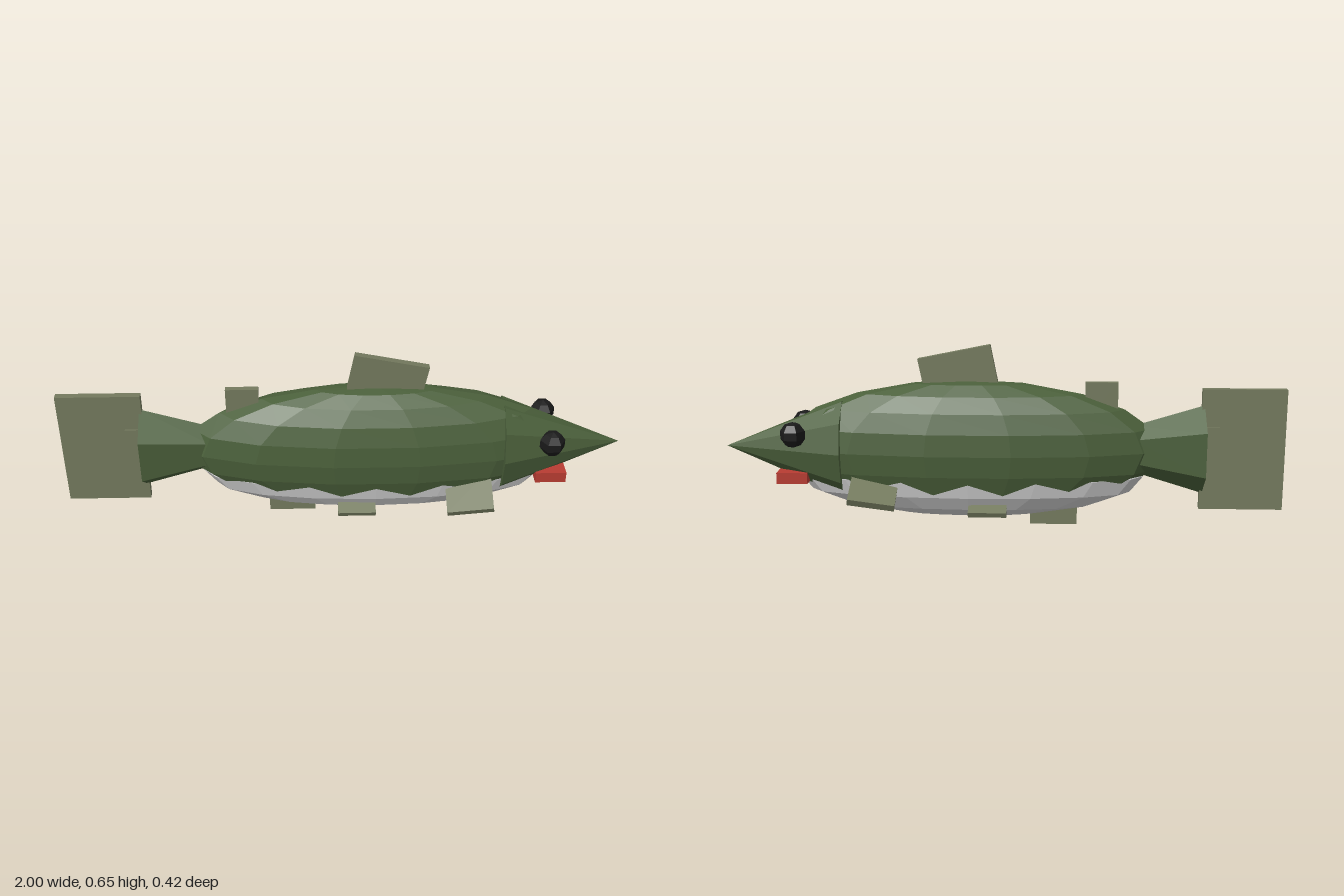
import * as THREE from 'three';

const mat = (color) => new THREE.MeshStandardMaterial({ color, flatShading: true });

export function createModel() {
  const fish = new THREE.Group();
  fish.name = 'fish';
  const green = mat(0x4a5f3a), finMat = mat(0x747a5e), grey = mat(0xcccccc);
  const red = mat(0xb83c32), black = mat(0x1a1a1a);
  const midY = 0.277;

  const add = (name, geometry, material, x, y, z, rx = 0, rz = 0) => {
    const m = new THREE.Mesh(geometry, material);
    m.name = name;
    m.position.set(x, y, z);
    m.rotation.set(rx, 0, rz);
    fish.add(m);
    return m;
  };
  const box = (w, h, d) => new THREE.BoxGeometry(w, h, d);

  // Body and the paler belly that breaks through its underside
  add('body', new THREE.SphereGeometry(1, 14, 10).scale(0.68, 0.247, 0.148), green, 0.115, midY, 0);
  add('belly', new THREE.SphereGeometry(1, 16, 8).scale(0.62, 0.15, 0.13), grey, 0.115, 0.179, 0);

  // Head: ten-sided cone pointing along +x
  const head = new THREE.ConeGeometry(1, 0.43, 10).rotateZ(-Math.PI / 2).scale(1, 0.182, 0.136);
  add('head', head, green, 0.78, midY, 0);

  // Tail stem flares backwards, with a vertex at top and bottom
  const stem = new THREE.CylinderGeometry(0.085, 0.16, 0.245, 6)
    .rotateY(Math.PI / 2).rotateZ(-Math.PI / 2).scale(1, 1, 0.72);
  add('tailStem', stem, green, -0.5925, 0.28, 0);
  add('tailJoint', box(0.2, 0.165, 0.036), finMat, -0.67, 0.282, 0);

  // Fins on the centre line
  add('tailFin', box(0.295, 0.435, 0.026), finMat, -0.8525, 0.282, 0);
  add('dorsalFin', box(0.262, 0.18, 0.026), finMat, 0.152, 0.537, 0, 0, -0.2);
  add('rearDorsalFin', box(0.115, 0.14, 0.022), finMat, -0.352, 0.45, 0);
  add('analFin', box(0.168, 0.12, 0.022), finMat, -0.186, 0.06, 0);

  // Mouth
  add('mouth', box(0.11, 0.04, 0.167), red, 0.745, 0.178, 0);

  // Paired fins and eyes
  for (const s of [1, -1]) {
    add('pectoralFin', box(0.165, 0.026, 0.16), finMat, 0.447, 0.152, s * 0.127, s * 0.47, 0.17);
    add('pelvicFin', box(0.135, 0.02, 0.1), finMat, 0.047, 0.088, s * 0.092, s * 0.42);
    add('eye', new THREE.SphereGeometry(0.046, 6, 5), black, 0.73, 0.343, s * 0.106);
  }
  return fish;
}
